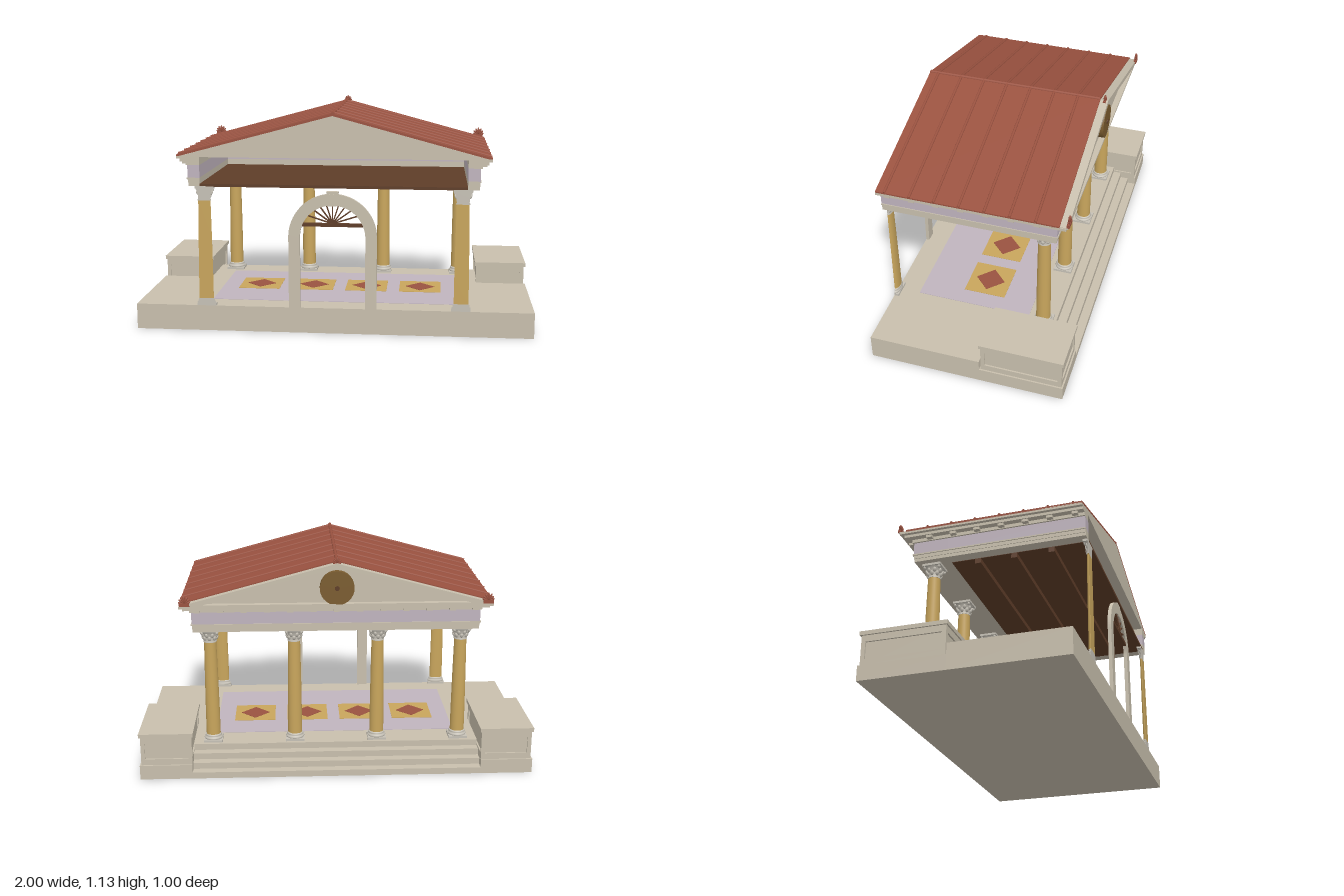
import * as THREE from 'three';

const mat = (name, color, side = THREE.FrontSide) => {
  const m = new THREE.MeshStandardMaterial({ color, side });
  m.name = name;
  return m;
};

export function createModel() {
  const stone = mat('stone', 0xc8bfad);
  const marble = mat('pale marble', 0xc6c1b6);
  const lilac = mat('lilac plaster', 0xc0b4be);
  const ochre = mat('ochre', 0xc8a55c);
  const tile = mat('red tile', 0x9a5240);
  const wood = mat('dark wood', 0x5e3d28);
  const bronze = mat('bronze', 0x7a5c30);

  const model = new THREE.Group();
  model.name = 'temple porch';
  const add = (name, geo, material, parent = model) => {
    const m = new THREE.Mesh(geo, material);
    m.name = name;
    parent.add(m);
    return m;
  };
  // box given by its limits on each axis
  const box = (name, x0, x1, y0, y1, z0, z1, material, parent) => {
    const m = add(name, new THREE.BoxGeometry(Math.abs(x1 - x0), y1 - y0, z1 - z0), material, parent);
    m.position.set((x0 + x1) / 2, (y0 + y1) / 2, (z0 + z1) / 2);
    return m;
  };
  const poly = (pts) => new THREE.Shape(pts.map(([x, y]) => new THREE.Vector2(x, y)));
  const prism = (shape, z0, z1) =>
    new THREE.ExtrudeGeometry(shape, { depth: z1 - z0, bevelEnabled: false, curveSegments: 24 }).translate(0, 0, z0);

  // platform and back steps
  box('platform', -1, 1, 0, 0.13, -0.073, 0.5, stone);
  for (let k = 0; k < 4; k++)
    box('step', -0.735, 0.735, k * 0.0325, (k + 1) * 0.0325, -0.5 + k * 0.045, -0.073, stone);

  // panelled pedestals beside the steps
  const frame = (w, h) => {
    const s = poly([[-w / 2, -h / 2], [w / 2, -h / 2], [w / 2, h / 2], [-w / 2, h / 2]]);
    const a = w / 2 - 0.02, b = h / 2 - 0.032;
    s.holes.push(new THREE.Path([[-a, -b], [-a, b], [a, b], [a, -b]].map((p) => new THREE.Vector2(...p))));
    return prism(s, 0, 0.008);
  };
  for (const s of [-1, 1]) {
    const g = new THREE.Group();
    g.name = 'pedestal';
    model.add(g);
    box('pedestalFooting', s * 0.735, s, 0, 0.075, -0.5, -0.073, stone, g);
    box('pedestalCore', s * 0.743, s * 0.984, 0.075, 0.225, -0.484, -0.088, stone, g);
    box('pedestalCap', s * 0.727, s, 0.225, 0.245, -0.5, -0.073, stone, g);
    const sides = [[s * 0.984, -0.286, s, 0.412], [s * 0.743, -0.286, -s, 0.412]];
    for (const [x, z, dir, w] of sides) {
      const m = add('pedestalPanel', frame(w, 0.15), stone, g);
      m.position.set(x, 0.15, z);
      m.rotation.y = dir * Math.PI / 2;
    }
    const back = add('pedestalPanel', frame(0.257, 0.15), stone, g);
    back.position.set(s * 0.8635, 0.15, -0.484);
    back.rotation.y = Math.PI;
    const front = add('pedestalPanel', frame(0.257, 0.15), stone, g);
    front.position.set(s * 0.8635, 0.15, -0.088);
  }

  // mosaic floor
  box('pavement', -0.63, 0.63, 0.13, 0.132, -0.22, 0.38, lilac);
  for (const x of [-0.43, -0.143, 0.143, 0.43]) {
    box('mosaicSquare', x - 0.11, x + 0.11, 0.13, 0.1335, -0.06, 0.16, ochre);
    const d = box('mosaicDiamond', -0.055, 0.055, 0.13, 0.135, -0.055, 0.055, tile);
    d.position.x = x;
    d.position.z = 0.05;
    d.rotation.y = Math.PI / 4;
  }

  // columns; a half column has a flat face towards the front
  const baseProfile = [[0.046, 0.142], [0.048, 0.147], [0.046, 0.152], [0.04, 0.155], [0.042, 0.16], [0.041, 0.165], [0.036, 0.168]];
  const shaftProfile = [[0.0365, 0.168], [0.036, 0.3], [0.034, 0.48], [0.031, 0.668]];
  const bellProfile = [[0.034, 0.668], [0.034, 0.674], [0.031, 0.677], [0.033, 0.7], [0.038, 0.718], [0.045, 0.728]];
  const column = (x, z, half) => {
    const g = new THREE.Group();
    g.name = half ? 'halfColumn' : 'column';
    g.position.set(x, 0, z);
    if (half) g.scale.z = 0.5;
    model.add(g);
    const turned = (name, p, m) => {
      add(name, new THREE.LatheGeometry(p.map((q) => new THREE.Vector2(...q)), half ? 16 : 28,
        half ? Math.PI / 2 : 0, half ? Math.PI : Math.PI * 2), m, g);
      if (half) add(name + 'Face', new THREE.ShapeGeometry(poly([...p, ...p.map(([r, y]) => [-r, y]).reverse()])), m, g);
    };
    const zf = half ? 0 : 0.048;
    box('columnPlinth', -0.048, 0.048, 0.13, 0.142, -0.048, zf, marble, g);
    turned('columnBase', baseProfile, marble);
    turned('columnShaft', shaftProfile, ochre);
    turned('capitalBell', bellProfile, marble);
    box('capitalAbacus', -0.048, 0.048, 0.728, 0.74, -0.048, zf, marble, g);
    // two rows of leaves and four corner scrolls
    for (const [n, r, y, w, h, off] of [[8, 0.036, 0.69, 0.009, 0.013, 0], [8, 0.039, 0.707, 0.009, 0.013, 0.5], [4, 0.054, 0.72, 0.008, 0.009, 0.5]])
      for (let i = 0; i < n; i++) {
        const a = (i + off) / n * Math.PI * 2;
        if (half && Math.cos(a) > -0.2) continue;
        const leaf = add('capitalLeaf', new THREE.SphereGeometry(1, 8, 6), marble, g);
        leaf.scale.set(w, h, 0.006);
        leaf.position.set(Math.sin(a) * r, y, Math.cos(a) * r);
        leaf.rotation.set(0.35, a, 0, 'YXZ');
      }
  };
  for (const x of [-0.638, -0.213, 0.213, 0.638]) column(x, -0.3, false);
  for (const x of [-0.638, 0.638]) column(x, 0.5, true);

  // doorway arch with keystone and fan light
  const arch = poly([[0.22, 0.13], [0.22, 0.49]]);
  arch.absarc(0, 0.49, 0.22, 0, Math.PI, false);
  arch.lineTo(-0.22, 0.13);
  arch.lineTo(-0.163, 0.13);
  arch.lineTo(-0.163, 0.49);
  arch.absarc(0, 0.49, 0.163, Math.PI, 0, true);
  arch.lineTo(0.163, 0.13);
  add('doorArch', prism(arch, 0.482, 0.5), stone);
  add('keystone', prism(poly([[-0.02, 0.648], [0.02, 0.648], [0.03, 0.72], [-0.03, 0.72]]), 0.47, 0.499), stone);
  box('fanLightBar', -0.15, 0.15, 0.546, 0.562, 0.478, 0.499, wood);
  const hub = new THREE.Shape().absarc(0, 0.56, 0.022, 0, Math.PI, false);
  add('fanLightHub', prism(hub, 0.484, 0.498), wood);
  for (let i = 1; i < 10; i++) {
    const a = i / 10 * Math.PI;
    const len = -0.07 * Math.sin(a) + Math.sqrt(0.163 ** 2 - (0.07 * Math.cos(a)) ** 2);
    const spoke = add('fanLightSpoke', new THREE.BoxGeometry(len, 0.006, 0.01), wood);
    spoke.position.set(Math.cos(a) * len / 2, 0.56 + Math.sin(a) * len / 2, 0.49);
    spoke.rotation.z = a;
  }

  // entablature on both sides and the back: [name, bottom, top, overhang from column centres, material]
  const layers = [
    ['architraveLower', 0.74, 0.757, 0.078, stone], ['architraveUpper', 0.757, 0.775, 0.081, stone],
    ['architraveFillet', 0.775, 0.782, 0.086, stone], ['frieze', 0.782, 0.845, 0.082, lilac],
    ['bedMoulding', 0.845, 0.862, 0.09, stone], ['corona', 0.862, 0.876, 0.12, stone],
    ['cornice', 0.876, 0.89, 0.137, stone]];
  for (const [name, y0, y1, o, m] of layers) {
    for (const s of [-1, 1]) box(name + 'Side', s * 0.66, s * (0.638 + o), y0, y1, -0.2, 0.5, m);
    box(name + 'Back', -0.638 - o, 0.638 + o, y0, y1, -0.3 - o, -0.2, m);
  }
  const ribZ = [0.455, 0.33, 0.207, 0.083, -0.042, -0.166, -0.291];
  for (const z of ribZ)
    for (const s of [-1, 1]) box('corniceBlock', s * 0.72, s * 0.752, 0.849, 0.862, z - 0.015, z + 0.015, stone);
  for (let i = -6; i <= 6; i++)
    box('corniceBlock', i * 0.115 - 0.015, i * 0.115 + 0.015, 0.849, 0.862, -0.417, -0.38, stone);

  // timber ceiling
  box('ceiling', -0.66, 0.66, 0.738, 0.752, -0.2, 0.499, wood);
  for (const z of [0.315, 0.125, -0.062]) box('ceilingBeam', -0.66, 0.66, 0.713, 0.74, z - 0.015, z + 0.015, wood);

  // gable, back pediment and medallion
  add('gable', prism(poly([[-0.76, 0.885], [0.76, 0.885], [0.76, 0.889], [0, 1.093], [-0.76, 0.889]]), -0.415, 0.5), stone);
  const rake = poly([[-0.77, 0.885], [0.77, 0.885], [0.77, 0.893], [0, 1.099], [-0.77, 0.893]]);
  rake.holes.push(new THREE.Path([[-0.66, 0.897], [0, 1.074], [0.66, 0.897]].map((p) => new THREE.Vector2(...p))));
  add('pedimentFrame', prism(rake, -0.445, -0.405), stone);
  const disc = add('medallion', new THREE.CylinderGeometry(0.085, 0.085, 0.03, 28), bronze);
  disc.rotation.x = Math.PI / 2;
  disc.position.set(0, 0.975, -0.43);
  const boss = add('medallionBoss', new THREE.CylinderGeometry(0.012, 0.012, 0.008, 12), wood);
  boss.rotation.x = Math.PI / 2;
  boss.position.set(0, 0.975, -0.446);

  // tiled roof with ribs and ridge
  add('roof', prism(poly([[0, 1.105], [-0.775, 0.897], [-0.775, 0.886], [0, 1.093], [0.775, 0.886], [0.775, 0.897]]), -0.405, 0.5), tile);
  const slope = Math.atan2(-0.208, 0.775);
  for (const s of [-1, 1])
    for (const z of ribZ) {
      const rib = add('roofRib', new THREE.CylinderGeometry(0.007, 0.007, 0.8, 8), tile);
      rib.position.set(s * 0.3875, 1.001, z);
      rib.rotation.z = s * (slope - Math.PI / 2);
    }
  const ridge = add('roofRidge', new THREE.CylinderGeometry(0.009, 0.009, 0.905, 10), tile);
  ridge.rotation.x = Math.PI / 2;
  ridge.position.set(0, 1.103, 0.0475);

  // palmette ornaments on the pediment
  for (const [x, y, z, k] of [[-0.745, 0.897, -0.444, 1], [0.745, 0.897, -0.444, 1], [0, 1.09, -0.428, 0.75]]) {
    const g = new THREE.Group();
    g.name = 'roofOrnament';
    g.position.set(x, y, z);
    g.scale.set(k, k, 1);
    model.add(g);
    box('ornamentFoot', -0.025, 0.025, -0.005, 0.012, -0.007, 0.007, tile, g);
    for (let i = -3; i <= 3; i++) {
      const a = i * 0.45;
      const petal = add('ornamentPetal', new THREE.SphereGeometry(1, 8, 6), tile, g);
      const len = 0.02 - Math.abs(i) * 0.0015;
      petal.scale.set(0.006, len, 0.006);
      petal.position.set(-Math.sin(a) * len, 0.01 + Math.cos(a) * len, 0);
      petal.rotation.z = a;
    }
  }
  return model;
}
